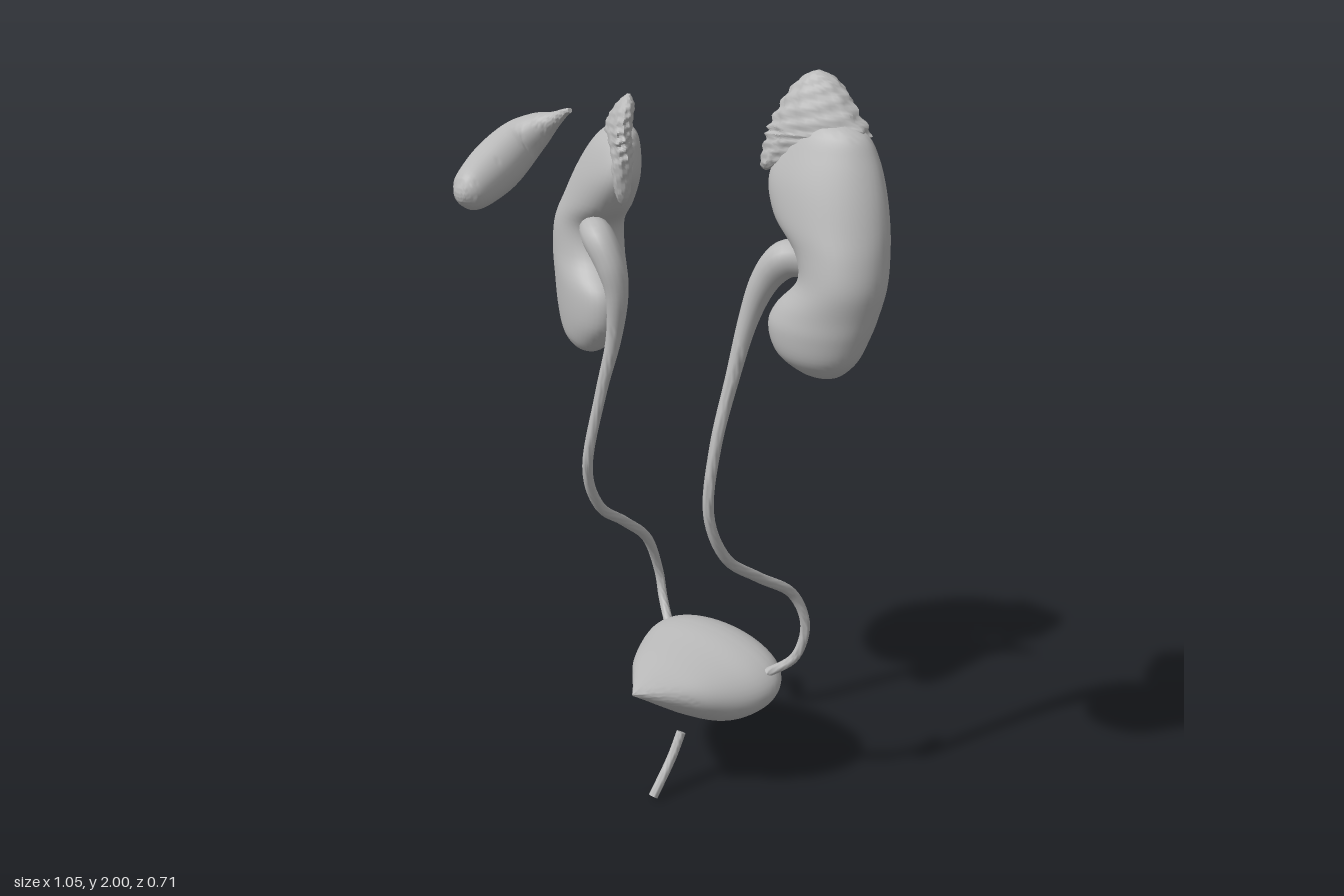
import * as THREE from 'three';
import { mergeVertices, toCreasedNormals } from 'three/addons/utils/BufferGeometryUtils.js';

const tissue = new THREE.MeshStandardMaterial({ color: 0xb8b8b8 });
tissue.name = 'tissue grey';
const V = (x, y, z) => new THREE.Vector3(x, y, z);

// Catmull-Rom interpolation of rows of numbers, t in 0..1
function sample(keys, t) {
  const s = t * (keys.length - 1), i = Math.min(Math.floor(s), keys.length - 2), f = s - i;
  const k = (n) => keys[Math.max(0, Math.min(keys.length - 1, n))];
  return keys[0].map((_, d) => {
    const a = k(i - 1)[d], b = k(i)[d], c = k(i + 1)[d], e = k(i + 2)[d];
    return b + 0.5 * f * (c - a + f * (2 * a - 5 * b + 4 * c - e + f * (3 * (b - c) + e - a)));
  });
}

// Skin over elliptical rings; ring(t) gives centre c and half axes u, v (u x v points along t)
function loft(name, ring, rings = 48, sides = 36, bump = 0) {
  const pos = [], index = [];
  for (let i = 0; i <= rings + 2; i++) {
    const cap = i === 0 || i === rings + 2;
    const { c, u, v } = ring(Math.max(0, Math.min(1, (i - 1) / rings)));
    for (let j = 0; j < sides; j++) {
      const a = (j / sides) * Math.PI * 2;
      const r = cap ? 0 : 1 + bump * Math.sin(3 * a + i * 0.7) * Math.sin(7 * a - i * 0.45);
      const p = c.clone().addScaledVector(u, r * Math.cos(a)).addScaledVector(v, r * Math.sin(a));
      pos.push(p.x, p.y, p.z);
      if (i < rings + 2) {
        const q = i * sides + j, n = i * sides + ((j + 1) % sides);
        index.push(q, n, q + sides, n, n + sides, q + sides);
      }
    }
  }
  let geo = new THREE.BufferGeometry();
  geo.setAttribute('position', new THREE.Float32BufferAttribute(pos, 3));
  geo.setIndex(index);
  geo = toCreasedNormals(mergeVertices(geo, 1e-5), 1.1);
  const mesh = new THREE.Mesh(geo, tissue);
  mesh.name = name;
  return mesh;
}

// Upright organ from rows [y, xMin, xMax, z, halfThickness], turned by yaw
function organ(name, keys, yaw, bump = 0) {
  const co = Math.cos(yaw), si = Math.sin(yaw);
  return loft(name, (t) => {
    const [y, x0, x1, z, b0] = sample(keys, t);
    const b = Math.max(0, b0), h = Math.max(0, (x1 - x0) / 2);
    const a = Math.sqrt(Math.max(h * h - (b * si) ** 2, h * h * 0.1)) / co;
    return { c: V((x0 + x1) / 2, y, z), u: V(co * a, 0, si * a), v: V(si * b, 0, -co * b) };
  }, 56, 40, bump);
}

// Round tapering duct from rows [x, y, z, radius]
function duct(name, keys, rings = 80, sides = 16) {
  const at = (t) => V(...sample(keys, t));
  let u = null;
  return loft(name, (t) => {
    const dir = at(Math.min(1, t + 0.005)).sub(at(Math.max(0, t - 0.005))).normalize();
    u = u || V(0.31, 0.2, 0.93);
    u = u.clone().addScaledVector(dir, -u.dot(dir)).normalize();
    const r = Math.max(0, sample(keys, t)[3]);
    return { c: at(t), u: u.clone().multiplyScalar(r), v: dir.cross(u).multiplyScalar(r) };
  }, rings, sides);
}

export function createModel() {
  const model = new THREE.Group();
  model.name = 'urinarySystem';

  // Kidneys
  model.add(organ('leftKidney', [
    [1.3, 0.385, 0.395, -0.185, 0.005],
    [1.308, 0.335, 0.435, -0.184, 0.035],
    [1.35, 0.27, 0.477, -0.182, 0.072],
    [1.41, 0.24, 0.5, -0.19, 0.09],
    [1.46, 0.252, 0.512, -0.2, 0.094],
    [1.53, 0.305, 0.522, -0.215, 0.096],
    [1.6, 0.28, 0.516, -0.228, 0.096],
    [1.67, 0.21, 0.503, -0.238, 0.093],
    [1.75, 0.18, 0.48, -0.25, 0.083],
    [1.82, 0.205, 0.45, -0.262, 0.066],
    [1.87, 0.25, 0.415, -0.268, 0.045],
    [1.895, 0.31, 0.35, -0.27, 0.012],
  ], -0.15));
  model.add(organ('rightKidney', [
    [1.2, -0.36, -0.35, -0.13, 0.004],
    [1.207, -0.41, -0.3, -0.132, 0.035],
    [1.24, -0.462, -0.258, -0.14, 0.062],
    [1.3, -0.505, -0.22, -0.152, 0.08],
    [1.38, -0.525, -0.225, -0.168, 0.09],
    [1.45, -0.525, -0.285, -0.19, 0.092],
    [1.53, -0.51, -0.3, -0.195, 0.09],
    [1.6, -0.485, -0.235, -0.185, 0.085],
    [1.68, -0.44, -0.188, -0.175, 0.075],
    [1.75, -0.38, -0.195, -0.175, 0.058],
    [1.79, -0.33, -0.215, -0.178, 0.035],
    [1.805, -0.28, -0.26, -0.18, 0.008],
  ], 0.52));

  // Adrenal caps with a slightly lumpy surface
  model.add(organ('leftAdrenalCap', [
    [1.76, 0.166, 0.176, -0.218, 0.006],
    [1.775, 0.157, 0.205, -0.222, 0.028],
    [1.81, 0.158, 0.28, -0.238, 0.038],
    [1.845, 0.167, 0.38, -0.255, 0.042],
    [1.868, 0.175, 0.41, -0.262, 0.042],
    [1.91, 0.19, 0.378, -0.268, 0.038],
    [1.955, 0.207, 0.342, -0.278, 0.031],
    [1.987, 0.235, 0.305, -0.284, 0.02],
    [2.0, 0.262, 0.268, -0.285, 0.004],
  ], -0.3, 0.09));
  model.add(organ('rightAdrenalCap', [
    [1.62, -0.205, -0.197, -0.11, 0.004],
    [1.65, -0.216, -0.183, -0.108, 0.018],
    [1.71, -0.24, -0.178, -0.115, 0.026],
    [1.755, -0.33, -0.178, -0.155, 0.032],
    [1.79, -0.36, -0.182, -0.168, 0.032],
    [1.825, -0.325, -0.188, -0.162, 0.028],
    [1.862, -0.275, -0.196, -0.158, 0.021],
    [1.888, -0.235, -0.22, -0.16, 0.005],
  ], 0.7, 0.09));

  // Renal pelvis narrowing into each ureter
  model.add(duct('leftUreter', [
    [0.33, 1.57, -0.2, 0.04], [0.275, 1.57, -0.175, 0.046], [0.228, 1.51, -0.155, 0.036],
    [0.2, 1.41, -0.13, 0.025], [0.188, 1.27, -0.09, 0.018], [0.184, 1.1, -0.035, 0.015],
    [0.19, 0.93, -0.006, 0.014], [0.203, 0.79, -0.06, 0.014], [0.22, 0.7, -0.17, 0.014],
    [0.245, 0.62, -0.28, 0.014], [0.268, 0.52, -0.314, 0.013], [0.25, 0.42, -0.298, 0.013],
    [0.185, 0.36, -0.265, 0.013],
  ]));
  model.add(duct('rightUreter', [
    [-0.33, 1.53, -0.13, 0.035], [-0.265, 1.53, -0.085, 0.042], [-0.212, 1.47, -0.075, 0.038],
    [-0.19, 1.39, -0.075, 0.029], [-0.2, 1.27, -0.07, 0.02], [-0.217, 1.13, -0.04, 0.015],
    [-0.234, 0.93, -0.004, 0.014], [-0.248, 0.79, -0.06, 0.014], [-0.26, 0.7, -0.17, 0.014],
    [-0.27, 0.61, -0.27, 0.014], [-0.272, 0.49, -0.32, 0.013], [-0.245, 0.415, -0.31, 0.013],
    [-0.19, 0.365, -0.275, 0.013],
  ]));

  // Bladder: rows [z, halfWidth, yMin, yMax] from the back to the pointed front
  const bladder = [
    [-0.355, 0.03, 0.335, 0.36], [-0.349, 0.12, 0.305, 0.39], [-0.325, 0.19, 0.265, 0.408],
    [-0.285, 0.225, 0.225, 0.418], [-0.235, 0.227, 0.198, 0.417], [-0.17, 0.2, 0.195, 0.405],
    [-0.1, 0.152, 0.232, 0.391], [-0.04, 0.096, 0.274, 0.377], [0.015, 0.042, 0.315, 0.364],
    [0.058, 0.003, 0.346, 0.354],
  ];
  model.add(loft('bladder', (t) => {
    const [z, w, y0, y1] = sample(bladder, t);
    return { c: V(-0.012, (y0 + y1) / 2, z), u: V(w, 0, 0), v: V(0, (y1 - y0) / 2, 0) };
  }, 56, 48));

  // Urethra
  model.add(duct('urethra', [
    [0.01, 0.165, -0.11, 0.013], [0.01, 0.095, -0.068, 0.013], [0.01, 0.009, 0.003, 0.013],
  ], 16));

  // Gallbladder with a hooked neck
  model.add(duct('gallbladder', [
    [-0.288, 1.712, 0.351, 0.006], [-0.288, 1.716, 0.341, 0.027], [-0.29, 1.727, 0.31, 0.05],
    [-0.302, 1.762, 0.225, 0.064], [-0.296, 1.808, 0.152, 0.058], [-0.26, 1.845, 0.118, 0.041],
    [-0.218, 1.872, 0.105, 0.02], [-0.185, 1.893, 0.102, 0.01], [-0.163, 1.903, 0.105, 0.006],
  ], 60, 32));

  return model;
}
